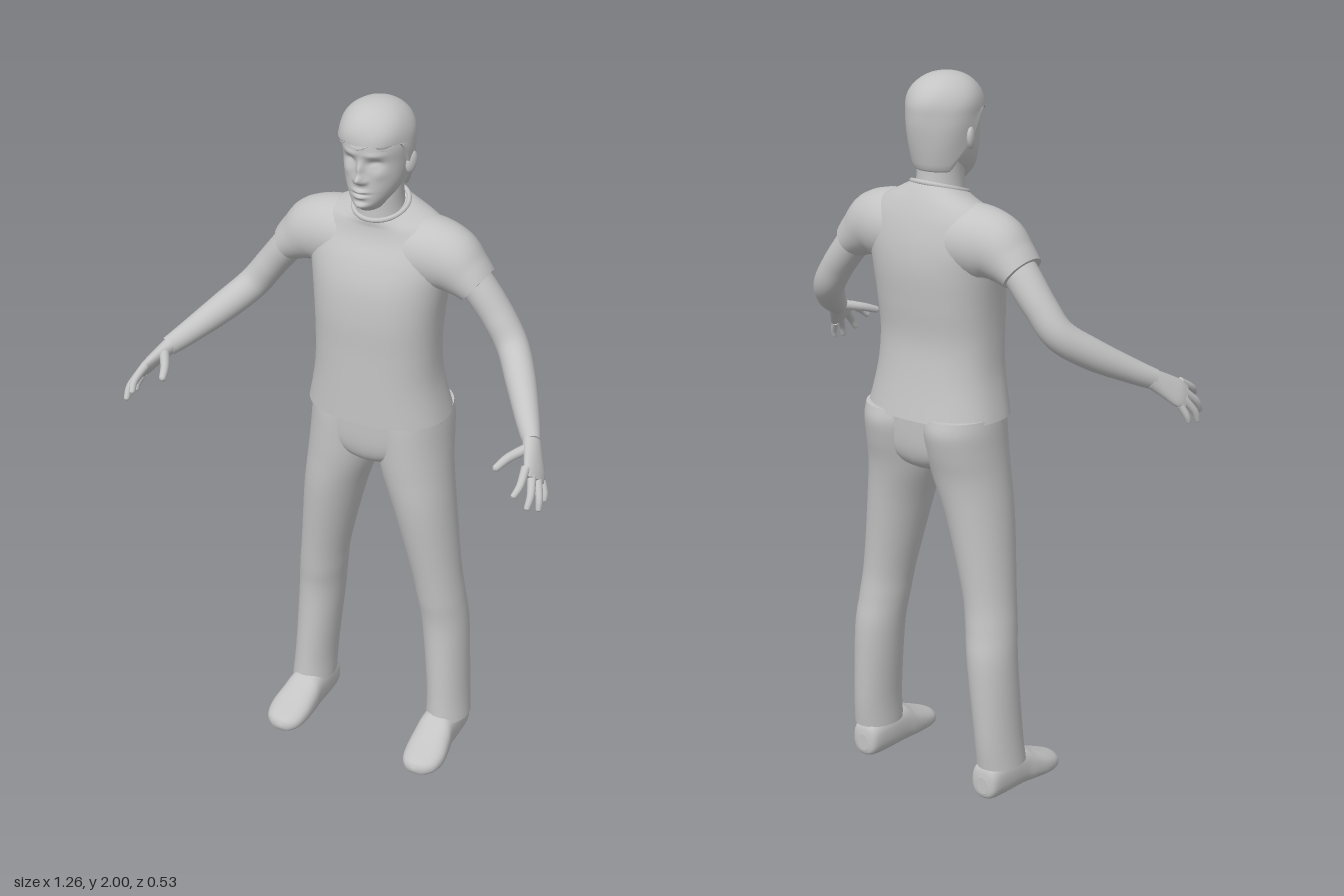
import * as THREE from 'three';

const grey = new THREE.MeshStandardMaterial({ color: 0xc4c4c4 });
grey.name = 'plain grey';

const V = (x, y, z) => new THREE.Vector3(x, y, z);

// Smooth interpolation of number rows (Catmull-Rom per column)
function refine(rows, sub) {
  const out = [], last = rows.length - 1;
  for (let i = 0; i < last; i++) {
    const p = [rows[Math.max(i - 1, 0)], rows[i], rows[i + 1], rows[Math.min(i + 2, last)]];
    for (let k = 0; k < sub; k++) {
      const t = k / sub;
      out.push(p[1].map((b, c) => {
        const a = p[0][c], d = p[2][c], e = p[3][c];
        return b + 0.5 * t * (d - a + t * (2 * a - 5 * b + 4 * d - e + t * (3 * (b - d) + e - a)));
      }));
    }
  }
  out.push(rows[last]);
  return out;
}

// Loft through rows of [x, y, z, radiusU, radiusV, tilt, power]; V follows ref, U is across it
function loft(rows, ref, { dir = null, n = 32, sub = 6 } = {}) {
  const r = refine(rows.map(([x, y, z, a, b, tilt = 0, pw = 2]) => [x, y, z, a, b, tilt, pw]), sub);
  const pos = [], idx = [], se = (c, p) => Math.sign(c) * Math.abs(c) ** (2 / p);
  const centre = r.map(q => V(q[0], q[1], q[2]));
  r.forEach((q, i) => {
    const t = dir ? dir.clone()
      : centre[Math.min(i + 1, r.length - 1)].clone().sub(centre[Math.max(i - 1, 0)]).normalize();
    const v = ref.clone().addScaledVector(t, -ref.dot(t)).normalize();
    const u = v.clone().cross(t);
    for (let j = 0; j < n; j++) {
      const a = j / n * Math.PI * 2;
      const du = se(Math.cos(a), q[6]) * Math.max(q[3], 0.0005);
      const dv = se(Math.sin(a), q[6]) * Math.max(q[4], 0.0005);
      const p = centre[i].clone().addScaledVector(u, du).addScaledVector(v, dv).addScaledVector(t, q[5] * du);
      pos.push(p.x, p.y, p.z);
    }
  });
  for (let i = 0; i < r.length - 1; i++) for (let j = 0; j < n; j++) {
    const a = i * n + j, b = i * n + (j + 1) % n;
    idx.push(a, b, b + n, a, b + n, a + n);
  }
  // flat end caps with their own vertices
  for (const end of [0, r.length - 1]) {
    const base = pos.length / 3;
    pos.push(...pos.slice(end * n * 3, (end + 1) * n * 3), ...centre[end].toArray());
    for (let j = 0; j < n; j++) {
      const a = base + j, b = base + (j + 1) % n;
      if (end) idx.push(base + n, a, b); else idx.push(base + n, b, a);
    }
  }
  const g = new THREE.BufferGeometry();
  g.setAttribute('position', new THREE.Float32BufferAttribute(pos, 3));
  g.setIndex(idx);
  g.computeVertexNormals();
  return g;
}

// Level section from its extents
const slab = (y, x0, x1, zb, zf, tilt = 0, p = 2) =>
  [(x0 + x1) / 2, y, (zb + zf) / 2, (zf - zb) / 2, (x1 - x0) / 2, tilt, p];
const wide = (y, w, zb, zf, tilt, p) => slab(y, -w, w, zb, zf, tilt, p);
const X = V(1, 0, 0), Y = V(0, 1, 0), Z = V(0, 0, 1);
const upright = (rows, opt) => loft(rows, X, { dir: Y, ...opt });

// Head with the face pushed in and out by soft bumps
function headGeometry() {
  const g = upright([
    wide(1.715, 0.03, -0.1, -0.01), wide(1.737, 0.046, -0.125, 0.012), wide(1.765, 0.066, -0.155, 0.012),
    wide(1.8, 0.08, -0.175, 0.01), wide(1.85, 0.088, -0.19, 0.008), wide(1.9, 0.091, -0.193, 0.012),
    wide(1.95, 0.078, -0.175, -0.005), wide(1.98, 0.045, -0.13, -0.04),
  ], { n: 96, sub: 10 });
  const bumps = [ // x, y, depth, width, height
    [0, 1.812, 0.025, 0.011, 0.012], [0, 1.84, 0.015, 0.009, 0.02],
    [0.014, 1.806, 0.008, 0.007, 0.007], [0.036, 1.855, -0.014, 0.018, 0.011],
    [0.036, 1.851, 0.007, 0.012, 0.006], [0.035, 1.88, 0.005, 0.025, 0.007],
    [0, 1.777, 0.008, 0.02, 0.005], [0, 1.762, 0.008, 0.017, 0.005],
    [0, 1.7695, -0.004, 0.022, 0.003], [0, 1.748, -0.004, 0.02, 0.006],
    [0, 1.733, 0.006, 0.02, 0.01], [0.05, 1.825, 0.004, 0.016, 0.014],
  ];
  const p = g.attributes.position;
  for (let i = 0; i < p.count; i++) {
    const x = p.getX(i), y = p.getY(i), z = p.getZ(i);
    if (z < -0.07) continue;
    let d = 0;
    for (const [bx, by, h, w, t] of bumps)
      d += h * Math.exp(-(((Math.abs(x) - bx) / w) ** 2) - ((y - by) / t) ** 2);
    p.setZ(i, z + d);
  }
  g.computeVertexNormals();
  return g;
}

// Hair: dome whose lower edge is high over the brow and low at the nape
function hairGeometry() {
  const g = new THREE.SphereGeometry(1, 64, 32), p = g.attributes.position;
  for (let i = 0; i < p.count; i++) {
    const s = Math.floor(i / 65) / 32, a = (i % 65) / 64 * Math.PI * 2;
    const f = Math.cos(a);
    const edge = f > 0.35 ? 1.905 - 0.008 * Math.cos(9 * a) : f > 0
      ? 1.835 + 0.2 * f : 1.835 - 0.085 * Math.min(1, -f * 1.6);
    let y, k;
    if (s < 0.55) {
      const q = s / 0.55 * Math.PI / 2;
      y = 1.91 + 0.09 * Math.cos(q);
      k = Math.sin(q) ** 0.9;
    } else {
      const q = Math.min((s - 0.55) / 0.37, 1);
      y = 1.91 + (edge - 1.91) * q;
      k = 1 - 0.2 * Math.max(0, (1.88 - y) / 0.13) ** 1.5;
      if (s > 0.92) k *= 1 - (s - 0.92) * 2.5;
    }
    const ripple = 1 + 0.012 * Math.sin(5 * a + 9 * s) * Math.sin(s * Math.PI);
    p.setXYZ(i, Math.sin(a) * 0.099 * k * ripple, y, -0.088 + f * (f > 0 ? 0.112 : 0.114) * k * ripple);
  }
  g.computeVertexNormals();
  return g;
}

export function createModel() {
  const model = new THREE.Group();
  const add = (name, geo, parent = model) => {
    const m = new THREE.Mesh(geo, grey);
    m.name = name;
    parent.add(m);
    return m;
  };

  // Head, hair and neck
  add('head', headGeometry());
  add('hair', hairGeometry());
  add('neck', upright([wide(1.64, 0.075, -0.19, -0.04), wide(1.7, 0.064, -0.178, -0.042),
    wide(1.75, 0.062, -0.172, -0.045), wide(1.81, 0.066, -0.17, -0.06)]));

  // Shirt body and collar
  add('shirt', upright([
    wide(1.09, 0.205, -0.262, 0.03, 0, 2.3), wide(1.2, 0.182, -0.242, 0.03, 0, 2.3),
    wide(1.3, 0.177, -0.232, 0.03, 0, 2.3), wide(1.4, 0.182, -0.242, 0.031, 0, 2.3),
    wide(1.49, 0.195, -0.25, 0.022, 0, 2.2), wide(1.56, 0.21, -0.246, 0, 0, 2.1),
    wide(1.62, 0.205, -0.232, -0.028, -0.04), wide(1.66, 0.165, -0.215, -0.038, -0.12),
    wide(1.685, 0.11, -0.197, -0.038, -0.25), wide(1.7, 0.075, -0.185, -0.038, -0.32),
  ], { n: 48 }));
  const collar = new THREE.CatmullRomCurve3(Array.from({ length: 16 }, (_, i) => {
    const a = i / 8 * Math.PI, dz = 0.073 * Math.cos(a);
    return V(0.074 * Math.sin(a), 1.699 - 0.32 * dz, -0.111 + dz);
  }), true);
  add('collar', new THREE.TubeGeometry(collar, 48, 0.007, 8, true));

  // Seat of the trousers
  add('pelvis', upright([wide(0.925, 0.04, -0.17, -0.07), wide(0.95, 0.12, -0.22, -0.02),
    wide(1, 0.19, -0.243, 0, 0, 2.3), wide(1.1, 0.2, -0.25, 0.005, 0, 2.3)]));

  for (const s of [1, -1]) {
    const side = new THREE.Group();
    side.name = s > 0 ? 'leftSide' : 'rightSide';
    model.add(side);
    const flip = rows => rows.map(([x, ...rest]) => [x * s, ...rest]);

    add('ear', new THREE.SphereGeometry(1, 16, 12).scale(0.011, 0.031, 0.019)
      .rotateX(-0.2).rotateY(-0.35 * s).translate(0.094 * s, 1.838, -0.098), side);

    // Sleeve and arm
    add('sleeve', loft(flip([
      [0.09, 1.575, -0.13, 0.098, 0.1], [0.15, 1.575, -0.128, 0.096, 0.1],
      [0.205, 1.565, -0.125, 0.086, 0.091], [0.25, 1.538, -0.124, 0.075, 0.069],
      [0.283, 1.513, -0.124, 0.068, 0.054]]), Y), side);
    add('arm', loft(flip([
      [0.235, 1.565, -0.124, 0.05, 0.045], [0.29, 1.5, -0.126, 0.05, 0.046],
      [0.345, 1.43, -0.124, 0.047, 0.044], [0.395, 1.362, -0.108, 0.044, 0.044],
      [0.452, 1.305, -0.04, 0.041, 0.042], [0.515, 1.25, 0.05, 0.032, 0.033],
      [0.55, 1.222, 0.1, 0.024, 0.028]]), Y), side);

    // Hand
    const across = V(-0.03 * s, 0.055, 0.05).normalize();
    add('palm', loft(flip([
      [0.545, 1.226, 0.092, 0.023, 0.028], [0.568, 1.2, 0.128, 0.019, 0.036],
      [0.587, 1.176, 0.16, 0.016, 0.042], [0.598, 1.162, 0.179, 0.01, 0.036]]), across, { n: 20 }), side);
    const fingers = [ // base, middle joint, tip, radius
      ['indexFinger', 0.573, 1.198, 0.187, 0.58, 1.172, 0.232, 0.572, 1.147, 0.262, 0.0105],
      ['middleFinger', 0.588, 1.178, 0.18, 0.604, 1.143, 0.218, 0.604, 1.108, 0.243, 0.0105],
      ['ringFinger', 0.6, 1.16, 0.168, 0.617, 1.124, 0.193, 0.622, 1.09, 0.206, 0.01],
      ['littleFinger', 0.604, 1.147, 0.148, 0.617, 1.119, 0.158, 0.62, 1.097, 0.165, 0.009],
      ['thumb', 0.552, 1.218, 0.12, 0.518, 1.205, 0.172, 0.498, 1.188, 0.22, 0.0125],
    ];
    for (const [name, a, b, c, d, e, f, x, y, z, r] of fingers) {
      const k = t => [d + (x - d) * t, e + (y - e) * t, f + (z - f) * t];
      add(name, loft(flip([[a, b, c, r * 1.15, r * 1.15], [d, e, f, r, r],
        [...k(0.8), r * 0.8, r * 0.8], [...k(0.94), r * 0.55, r * 0.55], [x, y, z, 0.001, 0.001]]),
      across, { n: 12, sub: 4 }), side);
    }

    // Trouser leg
    add('trouserLeg', upright(flip([
      slab(0.1, 0.16, 0.284, -0.2, -0.045), slab(0.2, 0.157, 0.276, -0.21, -0.052),
      slab(0.4, 0.135, 0.267, -0.215, -0.06), slab(0.5, 0.121, 0.258, -0.205, -0.05),
      slab(0.6, 0.104, 0.246, -0.2, -0.038), slab(0.8, 0.053, 0.227, -0.215, -0.01),
      slab(0.92, 0.013, 0.214, -0.232, -0.002), slab(1, 0.002, 0.207, -0.253, 0),
      slab(1.06, 0, 0.203, -0.265, 0), slab(1.1, 0.002, 0.199, -0.258, -0.002)])), side);

    // Shoe
    add('shoe', loft(flip([
      [0.216, 0.05, -0.203, 0.018, 0.025, 0, 2.3], [0.216, 0.058, -0.19, 0.042, 0.05, 0, 2.4],
      [0.216, 0.065, -0.13, 0.05, 0.06, 0, 2.5], [0.217, 0.065, -0.06, 0.053, 0.06, 0, 2.5],
      [0.22, 0.054, -0.02, 0.058, 0.049, 0, 2.5], [0.224, 0.042, 0.03, 0.061, 0.037, 0, 2.4],
      [0.224, 0.034, 0.07, 0.053, 0.028, 0, 2.3], [0.222, 0.031, 0.093, 0.033, 0.02, 0, 2.2],
      [0.22, 0.03, 0.102, 0.006, 0.005, 0, 2]]), Y, { dir: Z }), side);
  }
  return model;
}
